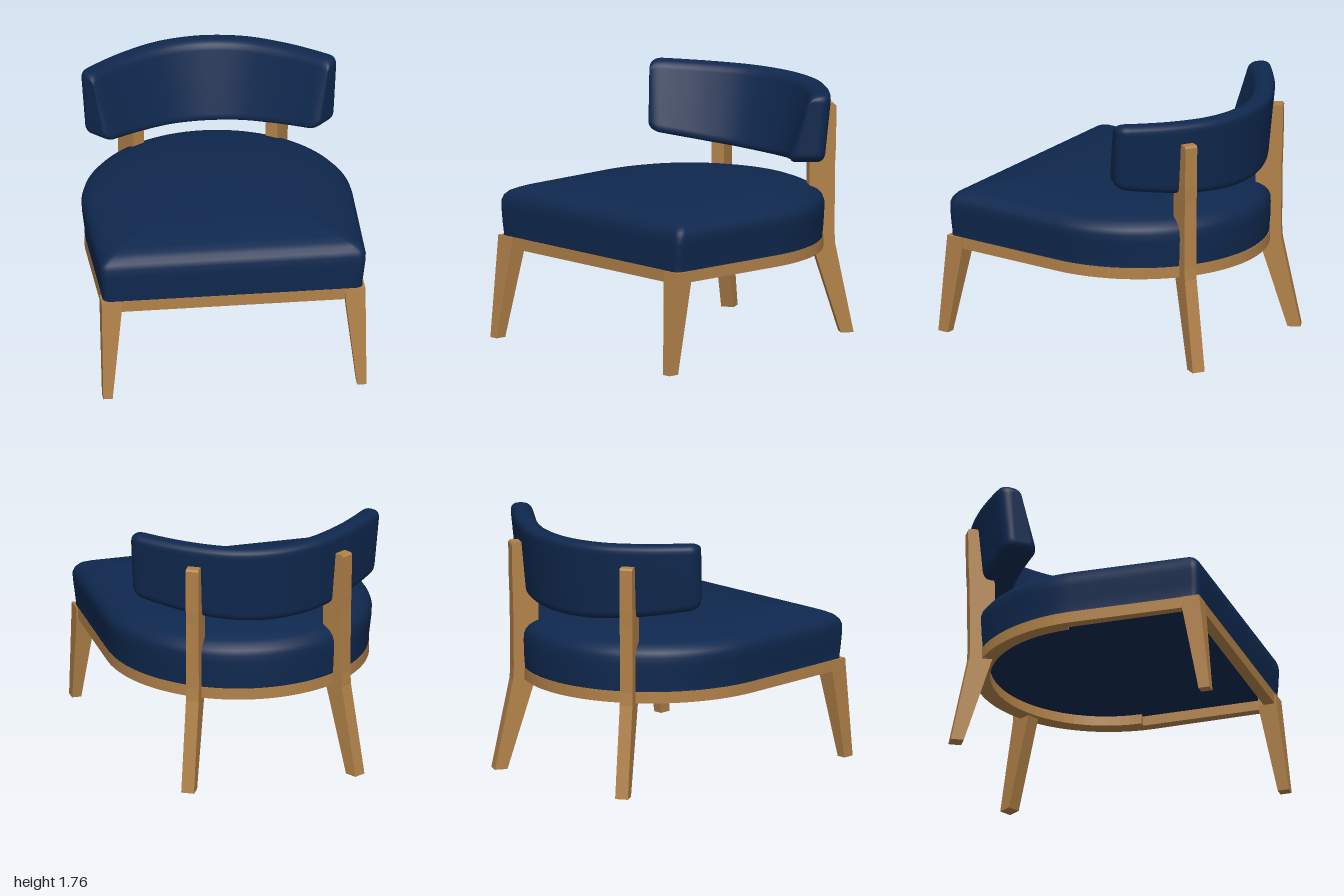
import * as THREE from 'three';

const navy = new THREE.MeshStandardMaterial({ color: 0x0f284e });
navy.name = 'navy fabric';
const oak = new THREE.MeshStandardMaterial({ color: 0xb28249 });
oak.name = 'oak wood';

const V = (x, y, z) => new THREE.Vector3(x, y, z);

// Skin a series of closed rings and cap both ends
function loft(rings, flat = false) {
  const n = rings[0].length, pos = [], idx = [];
  rings.forEach(r => r.forEach(p => pos.push(p.x, p.y, p.z)));
  for (let i = 0; i < rings.length - 1; i++) {
    for (let j = 0; j < n; j++) {
      const k = (j + 1) % n, a = i * n + j, b = i * n + k;
      idx.push(a, b, b + n, a, b + n, a + n);
    }
  }
  [rings[0], rings[rings.length - 1]].forEach((ring, end) => {
    const base = pos.length / 3;
    const c = ring.reduce((s, p) => s.add(p), V(0, 0, 0)).divideScalar(n);
    [c, ...ring].forEach(p => pos.push(p.x, p.y, p.z));
    for (let j = 0; j < n; j++) {
      const a = base + 1 + j, b = base + 1 + (j + 1) % n;
      if (end) idx.push(base, a, b); else idx.push(base, b, a);
    }
  });
  let g = new THREE.BufferGeometry();
  g.setAttribute('position', new THREE.Float32BufferAttribute(pos, 3));
  g.setIndex(idx);
  if (flat) g = g.toNonIndexed();
  g.computeVertexNormals();
  return g;
}

function part(name, geometry, material) {
  const m = new THREE.Mesh(geometry, material);
  m.name = name;
  return m;
}

// Plan outline: straight front, rounded front corners, half-ellipse rear; points are [x, z]
function outline() {
  const half = [];
  for (let i = 0; i <= 6; i++) half.push([0.86 * i / 6, 0.92]);
  for (let i = 1; i <= 6; i++) {
    const a = i / 6 * Math.PI / 2;
    half.push([0.86 + 0.055 * Math.sin(a), 0.865 + 0.055 * Math.cos(a)]);
  }
  for (let i = 1; i <= 6; i++) half.push([0.915 + 0.012 * i / 6, 0.865 - 0.865 * i / 6]);
  for (let i = 1; i <= 24; i++) {
    const a = i / 24 * Math.PI / 2;
    half.push([0.927 * Math.cos(a), -0.95 * Math.sin(a)]);
  }
  half[half.length - 1][0] = 0;
  const other = half.slice(1, -1).reverse().map(([x, z]) => [-x, z]);
  return [...half, ...other];
}

// Domed cushion: rings of [height, x scale, z scale]
function seatGeometry() {
  const rings = [
    [0.70, 0.985, 0.995], [0.725, 0.98, 0.995], [0.80, 0.99, 1], [0.90, 1.004, 1],
    [0.95, 1.007, 0.997], [0.985, 0.995, 0.983], [1.015, 0.965, 0.955], [1.035, 0.92, 0.915],
    [1.055, 0.86, 0.86], [1.078, 0.75, 0.75], [1.096, 0.6, 0.6], [1.11, 0.42, 0.42],
    [1.12, 0.2, 0.2], [1.123, 0.02, 0.02],
  ];
  const plan = outline();
  return loft(rings.map(([y, sx, sz]) => plan.map(([x, z]) => V(x * sx, y, z * sz))));
}

// Hollow rail ring, thicker round the back
function frameGeometry() {
  const v2 = ([x, z]) => new THREE.Vector2(x, -z);
  const shape = new THREE.Shape(outline().map(([x, z]) => v2([x * 0.985, z])));
  const hole = [[-0.84, -0.05], [-0.84, 0.84], [0.84, 0.84], [0.84, -0.05]];
  for (let i = 0; i <= 32; i++) {
    const a = i / 32 * Math.PI;
    hole.push([0.8 * Math.cos(a), -0.05 - 0.79 * Math.sin(a)]);
  }
  shape.holes.push(new THREE.Path(hole.map(v2)));
  const g = new THREE.ExtrudeGeometry(shape, { depth: 0.08, bevelEnabled: false });
  return g.rotateX(-Math.PI / 2).translate(0, 0.63, 0);
}

// Curved backrest: a leaning rounded section swept along an arc
function backrestGeometry() {
  const right = [[0.26, -0.8], [0.5, -0.67], [0.68, -0.53], [0.82, -0.4]];
  const left = right.map(([x, z]) => [-x, z]).reverse();
  const path = new THREE.CatmullRomCurve3([...left, [0, -0.845], ...right].map(([x, z]) => V(x, 0, z)));
  const length = path.getLength(), rings = [], steps = 64;
  for (let i = 0; i <= steps; i++) {
    const u = 0.5 - 0.5 * Math.cos(Math.PI * i / steps);
    const p = path.getPointAt(u), t = path.getTangentAt(u);
    const e = Math.min(1, length * Math.min(u, 1 - u) / 0.08);
    const k = Math.sqrt(1 - (1 - e) ** 2);
    const w = Math.abs(p.x) / 0.82;
    const top = 1.738 + 0.025 * w * w - 0.05 * (1 - k);
    const bottom = 1.19 + 0.1 * w * w + 0.05 * (1 - k);
    const thick = 0.5 + 0.5 * k;
    const corners = [[0.14, top], [0, top], [-0.16, bottom], [0.09, bottom]]
      .map(([n, y]) => new THREE.Vector2(-0.02 + (n + 0.02) * thick, y));
    const ring = [];
    corners.forEach((c, j) => {
      const toward = q => c.clone().add(q.clone().sub(c).setLength(0.062 * thick));
      const bend = new THREE.QuadraticBezierCurve(
        toward(corners[(j + 3) % 4]), c, toward(corners[(j + 1) % 4]));
      bend.getPoints(5).forEach(q => ring.push(V(p.x + t.z * q.x, q.y, p.z - t.x * q.x)));
    });
    rings.push(ring);
  }
  return loft(rings);
}

// Tapered front leg, splayed forward: [y, inner x, outer x, back z, front z]
function frontLegGeometry(side) {
  const rows = [[0, 0.845, 0.91, 0.92, 1.0], [0.63, 0.775, 0.912, 0.8, 0.932], [0.708, 0.775, 0.912, 0.8, 0.924]];
  return loft(rows.map(([y, xi, xo, zb, zf]) => {
    const r = [V(side * xi, y, zf), V(side * xo, y, zf), V(side * xo, y, zb), V(side * xi, y, zb)];
    return side > 0 ? r : r.reverse();
  }), true);
}

// Rear leg and back post in one piece, turned 30 degrees: [y, front radius, rear radius]
function rearLegGeometry(side) {
  const rows = [[0, 1.06, 1.15], [0.63, 0.86, 1.02], [0.72, 0.84, 1.015], [1.2, 0.84, 1.02],
    [1.3, 0.87, 1.025], [1.59, 0.95, 1.03], [1.603, 0.96, 1.02]];
  const s = Math.sin(Math.PI / 6), c = Math.cos(Math.PI / 6);
  return loft(rows.map(([y, rf, rb]) => {
    const r = [[0, rf], [0.09, rf], [0.09, rb], [0, rb]]
      .map(([t, q]) => V(side * (s * q + c * t), y, -c * q + s * t));
    return side > 0 ? r : r.reverse();
  }), true);
}

export function createModel() {
  const chair = new THREE.Group();
  chair.name = 'loungeChair';
  chair.add(part('seatCushion', seatGeometry(), navy));
  chair.add(part('backrest', backrestGeometry(), navy));
  chair.add(part('seatFrame', frameGeometry(), oak));
  for (const [label, side] of [['left', 1], ['right', -1]]) {
    chair.add(part(label + 'FrontLeg', frontLegGeometry(side), oak));
    chair.add(part(label + 'RearLeg', rearLegGeometry(side), oak));
  }
  return chair;
}
